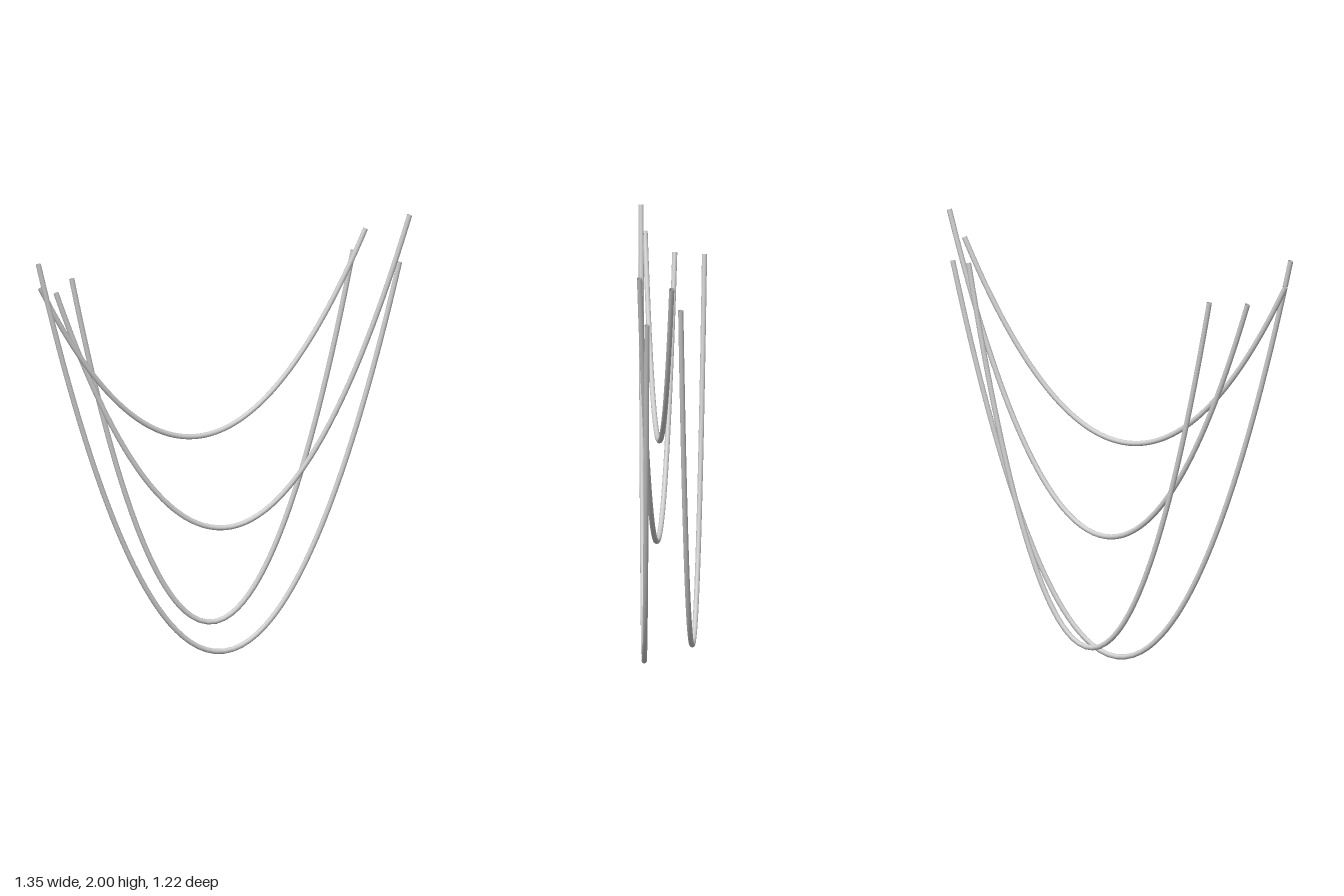
import * as THREE from 'three';

const RADIUS = 0.012;

// Each cable: start point, end point and the height of its middle
const CABLES = [
  { start: [-0.665, 1.76, 0.207], end: [0.384, 1.8, -0.6], middle: 0.09 },
  { start: [-0.665, 1.74, 0.39], end: [0.663, 1.998, -0.6], middle: 0.581 },
  { start: [-0.665, 1.81, 0.572], end: [0.445, 1.91, -0.6], middle: 1.023 },
  { start: [-0.665, 1.93, 0.597], end: [0.613, 1.77, -0.6], middle: 0.0135 },
];

// A parabolic sag is a quadratic Bezier with its control point below the middle
function hangingCurve({ start, end, middle }) {
  const a = new THREE.Vector3(...start);
  const b = new THREE.Vector3(...end);
  const control = a.clone().add(b).multiplyScalar(0.5);
  control.y = 2 * middle - control.y;
  return new THREE.QuadraticBezierCurve3(a, control, b);
}

export function createModel() {
  const group = new THREE.Group();
  group.name = 'hangingCables';
  const material = new THREE.MeshStandardMaterial({ color: 0xcccccc, side: THREE.DoubleSide });

  CABLES.forEach((cable, i) => {
    const tube = new THREE.TubeGeometry(hangingCurve(cable), 96, RADIUS, 12, false);
    const mesh = new THREE.Mesh(tube, material);
    mesh.name = `cable${i + 1}`;
    group.add(mesh);
  });
  return group;
}
